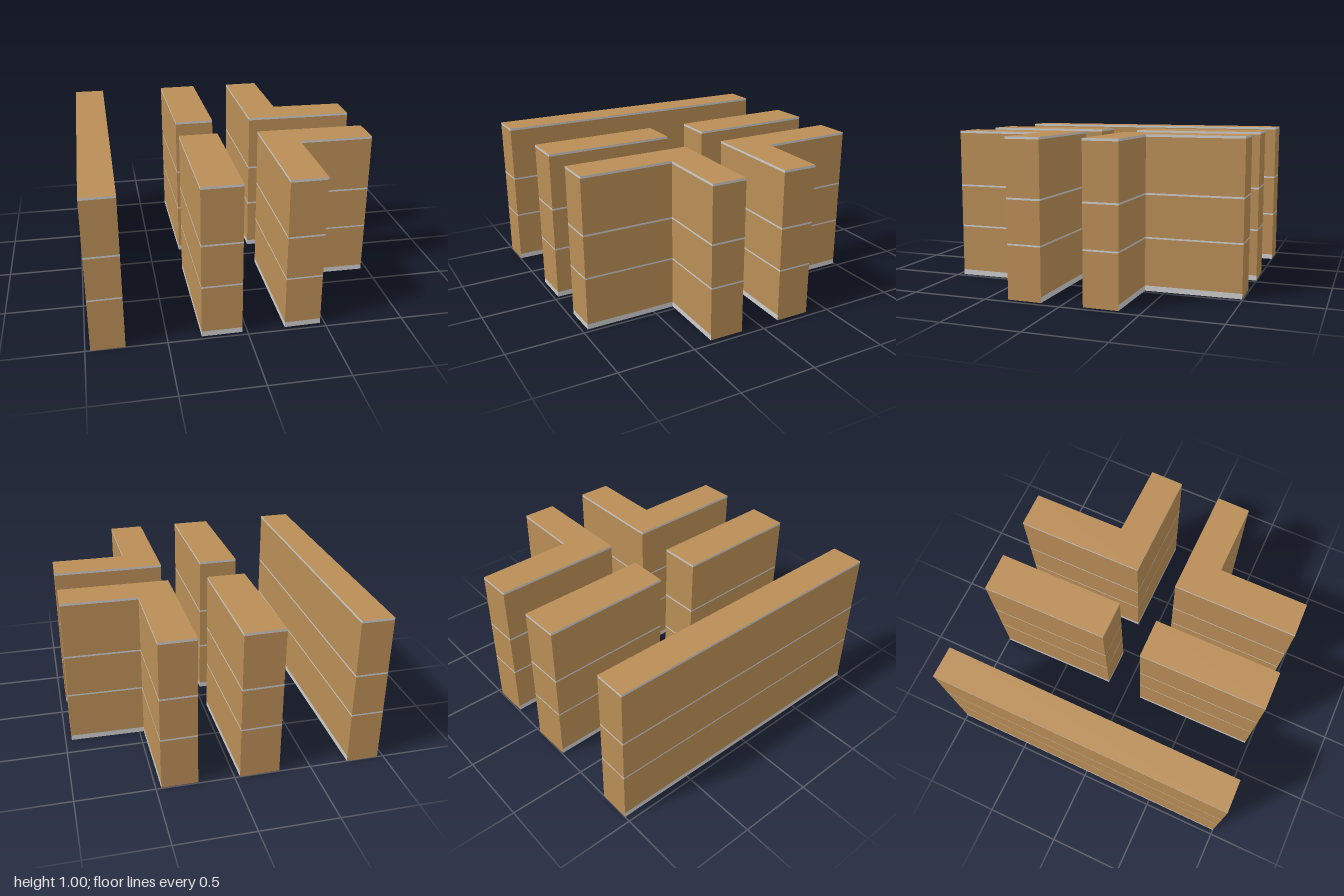
import * as THREE from 'three';
import { mergeGeometries } from 'three/addons/utils/BufferGeometryUtils.js';

const HEIGHT = 1.005;
// Horizontal courses: [bottom, top, isGrey]
const COURSES = [
  [0, 0.035, true], [0.035, 0.342, false], [0.342, 0.353, true],
  [0.353, 0.624, false], [0.624, 0.636, true],
  [0.636, 0.99, false], [0.99, HEIGHT, true],
];

// Outlines as [x, z] corners; bareEdges are the cut ends without a base strip
const WALLS = [
  { name: 'longWall', bareEdges: [0, 2],
    outline: [[-0.96, -1], [-0.75, -1], [-0.757, 0.996], [-0.968, 1]] },
  { name: 'backMiddleWall', bareEdges: [0],
    outline: [[-0.294, -0.993], [-0.034, -1], [-0.026, -0.145], [-0.283, -0.145]] },
  { name: 'frontMiddleWall', bareEdges: [],
    outline: [[-0.296, 0.122], [-0.037, 0.119], [-0.032, 0.971], [-0.288, 0.974]] },
  { name: 'backCornerWall', bareEdges: [0, 3],
    outline: [[0.233, -0.992], [0.466, -0.995], [0.471, -0.368],
      [0.96, -0.36], [0.958, -0.135], [0.238, -0.14]] },
  { name: 'frontCornerWall', bareEdges: [1],
    outline: [[0.235, 0.132], [0.96, 0.138], [0.958, 0.362],
      [0.468, 0.36], [0.471, 0.963], [0.24, 0.968]] },
];

// Upright rectangle over the edge a-b, facing outwards
function sidePanel([ax, az], [bx, bz], y0, y1) {
  const panel = new THREE.PlaneGeometry(Math.hypot(bx - ax, bz - az), y1 - y0);
  panel.rotateY(Math.atan2(bz - az, ax - bx));
  panel.translate((ax + bx) / 2, (y0 + y1) / 2, (az + bz) / 2);
  return panel;
}

// Flat cap of the outline: up at the top, down at the bottom
function cap(outline, y, up) {
  const s = up ? -1 : 1;
  const shape = new THREE.Shape(outline.map(([x, z]) => new THREE.Vector2(x, s * z)));
  return new THREE.ShapeGeometry(shape).rotateX(s * Math.PI / 2).translate(0, y, 0);
}

export function createModel() {
  const model = new THREE.Group();
  model.name = 'wallBlocks';
  const brown = new THREE.MeshStandardMaterial({ color: 0xb98d56 });
  const grey = new THREE.MeshStandardMaterial({ color: 0xcccccc });

  for (const { name, outline, bareEdges } of WALLS) {
    const brownParts = [cap(outline, HEIGHT, true), cap(outline, 0, false)];
    const greyParts = [];
    outline.forEach((a, i) => {
      const b = outline[(i + 1) % outline.length];
      for (const [y0, y1, isGrey] of COURSES) {
        const bare = y0 === 0 && bareEdges.includes(i);
        (isGrey && !bare ? greyParts : brownParts).push(sidePanel(a, b, y0, y1));
      }
    });

    const wall = new THREE.Group();
    wall.name = name;
    const body = new THREE.Mesh(mergeGeometries(brownParts), brown);
    body.name = 'wallBody';
    const strips = new THREE.Mesh(mergeGeometries(greyParts), grey);
    strips.name = 'wallStrips';
    wall.add(body, strips);
    model.add(wall);
  }
  return model;
}
